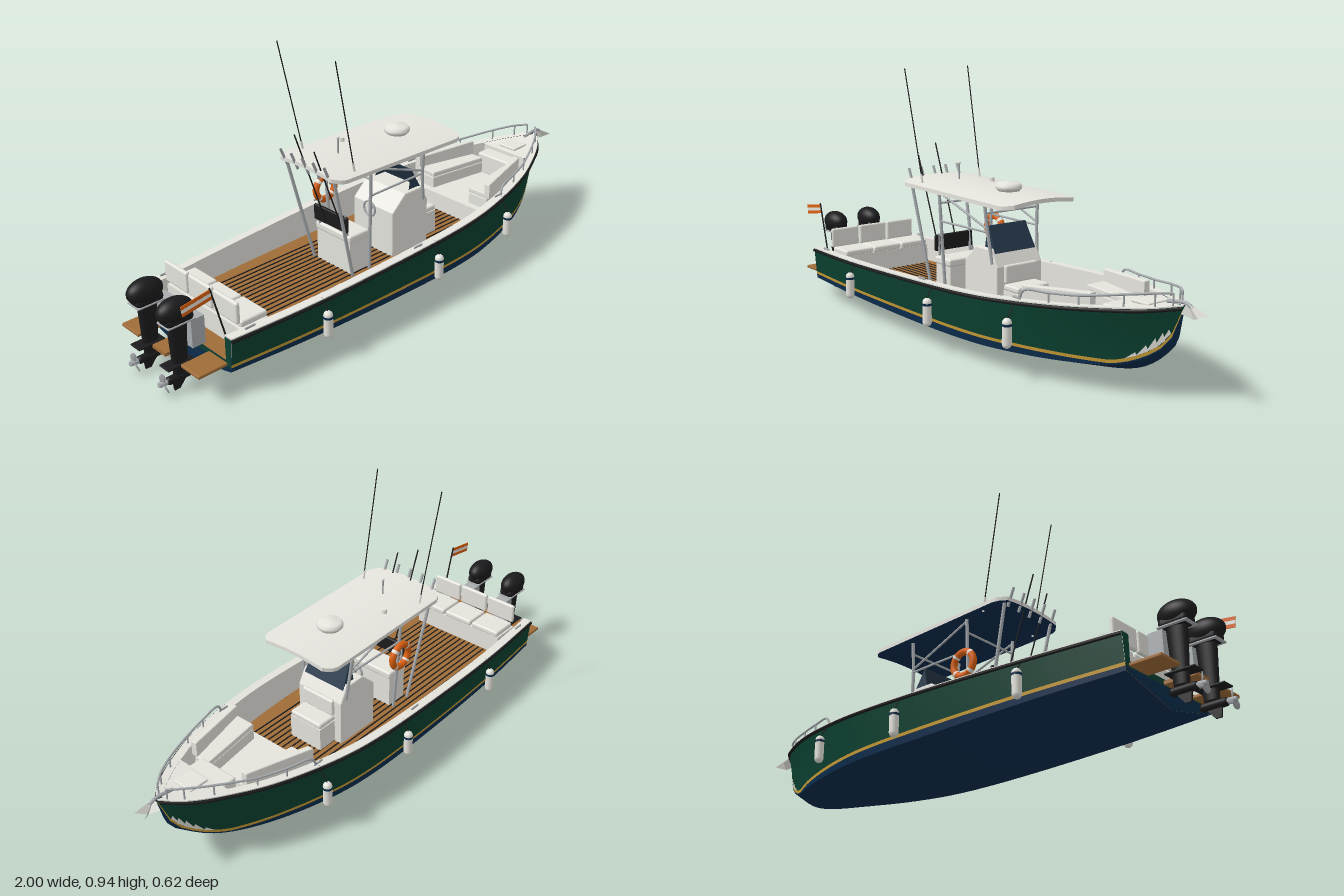
import * as THREE from 'three';
import { toCreasedNormals } from 'three/addons/utils/BufferGeometryUtils.js';
import { RoundedBoxGeometry } from 'three/addons/geometries/RoundedBoxGeometry.js';

const mat = (name, color) => {
  const m = new THREE.MeshStandardMaterial({ color, side: THREE.DoubleSide });
  m.name = name;
  return m;
};

// x, keel y, chine half-beam, chine y, sheer half-beam, sheer y
const ROWS = [
  [-0.83, 0.03, 0.225, 0.085, 0.235, 0.205], [-0.5, 0.013, 0.25, 0.08, 0.262, 0.213],
  [-0.1, 0.003, 0.26, 0.075, 0.275, 0.228], [0.2, 0.003, 0.255, 0.075, 0.271, 0.24],
  [0.4, 0.013, 0.225, 0.078, 0.246, 0.252], [0.6, 0.035, 0.165, 0.085, 0.196, 0.267],
  [0.75, 0.07, 0.095, 0.1, 0.132, 0.28], [0.85, 0.13, 0.04, 0.147, 0.075, 0.29],
  [0.9, 0.195, 0.014, 0.208, 0.033, 0.298], [0.925, 0.288, 0.001, 0.29, 0.003, 0.302],
];
const COLS = [1, 2, 3, 4, 5].map(c => new THREE.SplineCurve(ROWS.map(r => new THREE.Vector2(r[0], r[c]))));

// hull measurements at any x
function station(x) {
  let a = 0, b = 1;
  for (let i = 0; i < 30; i++) {
    const m = (a + b) / 2;
    if (COLS[0].getPoint(m).x < x) a = m; else b = m;
  }
  const [ky, cb, cy, sb, sy] = COLS.map(c => c.getPoint(a).y);
  const low = Math.min(Math.max(0.1, cy + 0.005), sy - 0.008), high = Math.min(low + 0.011, sy - 0.004);
  const power = 1 + 0.5 * THREE.MathUtils.smoothstep(x, 0.2, 0.8);
  const side = y => cb + (sb - cb) * Math.pow(THREE.MathUtils.clamp((y - cy) / (sy - cy), 0, 1), power);
  return { x, ky, cb, cy, sb, sy, low, high, side, inner: Math.max(sb - 0.032, 0) };
}

export function createModel() {
  const boat = new THREE.Group();
  boat.name = 'boat';
  const green = mat('hull green', 0x0b4030), navy = mat('navy', 0x0b2c4c), gold = mat('gold', 0xc79a34),
    white = mat('white', 0xe4e3dc), teak = mat('teak', 0xa06c38), black = mat('black', 0x1b1b1d),
    orange = mat('orange', 0xd9600f), steel = mat('steel', 0xa9adb0), glass = mat('tinted glass', 0x26384a);

  const add = (name, geo, m, p = [0, 0, 0], parent = boat) => {
    const mesh = new THREE.Mesh(geo, m);
    mesh.name = name;
    mesh.position.set(...p);
    parent.add(mesh);
    return mesh;
  };
  const box = (name, m, p, s, parent) => add(name, new THREE.BoxGeometry(...s), m, p, parent);
  const pad = (name, m, p, s, r = 0.008, parent = boat) =>
    add(name, new RoundedBoxGeometry(...s, 3, Math.min(r, Math.min(...s) * 0.45)), m, p, parent);
  const tube = (name, m, pts, r, parent) => add(name, new THREE.TubeGeometry(
    new THREE.CatmullRomCurve3(pts.map(p => new THREE.Vector3(...p))),
    pts.length > 2 ? pts.length * 6 : 1, r, 8), m, [0, 0, 0], parent);
  const both = fn => [1, -1].forEach(fn);

  // surface swept through hull stations; profile gives [y, z] points for one side
  function skin(name, m, x0, x1, n, profile) {
    both(s => {
      const pos = [], idx = [];
      let k = 0;
      for (let i = 0; i <= n; i++) {
        const x = x0 + (x1 - x0) * i / n, pts = profile(station(x));
        k = pts.length;
        pts.forEach(([y, z]) => pos.push(x, y, s * z));
      }
      for (let i = 0; i < n; i++) for (let j = 0; j < k - 1; j++) {
        const a = i * k + j, b = a + 1, c = a + k, d = c + 1;
        if (s > 0) idx.push(a, c, b, b, c, d); else idx.push(a, b, c, b, d, c);
      }
      const g = new THREE.BufferGeometry();
      g.setAttribute('position', new THREE.Float32BufferAttribute(pos, 3));
      g.setIndex(idx);
      add(name, toCreasedNormals(g, 0.5), m);
    });
  }

  // hull skins
  const FLOOR = 0.12, SOLE = 0.19;
  skin('bottom', navy, -0.83, 0.925, 60, s => [[s.ky, 0], [s.cy, s.cb], [s.low, s.side(s.low)]]);
  skin('bootStripe', gold, -0.83, 0.925, 60, s => [[s.low, s.side(s.low)], [s.high, s.side(s.high)]]);
  skin('topsides', green, -0.83, 0.925, 60, s => [0, 0.2, 0.4, 0.6, 0.8, 1].map(f => {
    const y = s.high + (s.sy - s.high) * f;
    return [y, s.side(y)];
  }));
  skin('gunwale', white, -0.83, 0.925, 60, s => [[s.sy, s.sb], [s.sy + 0.004, s.sb], [s.sy + 0.004, s.inner]]);
  skin('innerLiner', white, -0.83, 0.74, 40, s => [[s.sy + 0.004, s.inner], [FLOOR, Math.min(s.inner, s.side(FLOOR) - 0.008)]]);
  skin('cockpitFloor', teak, -0.83, 0.39, 24, s => [[FLOOR, s.inner], [FLOOR, 0]]);
  skin('bowSole', white, 0.39, 0.74, 12, s => [[SOLE, s.inner], [SOLE, 0]]);
  skin('foredeck', white, 0.73, 0.92, 12, s => [[s.sy + 0.003, s.inner], [s.sy + 0.003, 0]]);
  box('bowStep', white, [0.392, 0.155, 0], [0.006, 0.07, 0.42]);
  box('foredeckBulkhead', white, [0.732, 0.235, 0], [0.005, 0.09, 0.2]);
  for (let i = -8; i <= 8; i++) box('deckSeam', black, [-0.13, FLOOR + 0.001, i * 0.0225], [1.04, 0.002, 0.005]);

  // transom
  const st = station(-0.83);
  const plate = (name, m, pts) => add(name, new THREE.ShapeGeometry(
    new THREE.Shape(pts.map(p => new THREE.Vector2(...p)))).rotateY(-Math.PI / 2), m, [-0.831, 0, 0]);
  const w = st.side(0.1);
  plate('transomBottom', navy, [[0, st.ky], [st.cb, st.cy], [w, 0.1], [-w, 0.1], [-st.cb, st.cy]]);
  plate('transom', green, [[w, 0.1], [st.sb, st.sy], [st.inner, st.sy], [st.inner, FLOOR],
    [-st.inner, FLOOR], [-st.inner, st.sy], [-st.sb, st.sy], [-w, 0.1]]);

  both(s => {
    // rub rail
    const rail = [];
    for (let i = 0; i <= 20; i++) {
      const q = station(-0.83 + 1.752 * i / 20);
      rail.push([q.x, q.sy - 0.006, s * (q.sb + 0.001)]);
    }
    tube('rubRail', black, rail, 0.006);
    // jagged pale bow flashes
    const pos = [];
    const on = (x, up) => { const q = station(x), y = q.high + up; pos.push(x, y, s * (q.side(y) + 0.003)); };
    [[0.79, 0.012], [0.82, 0.022], [0.845, 0.03], [0.865, 0.03], [0.88, 0.02]].forEach(([x, h]) => {
      on(x - 0.018, 0); on(x + 0.016, 0); on(x + 0.012, h);
    });
    const g = new THREE.BufferGeometry();
    g.setAttribute('position', new THREE.Float32BufferAttribute(pos, 3));
    g.computeVertexNormals();
    add('bowFlash', g, white);
    // bow rail and its posts
    const top = [[0.44, 0.262], [0.46, 0.292], [0.55, 0.298], [0.65, 0.305], [0.78, 0.325], [0.86, 0.337], [0.9, 0.34]]
      .map(([x, y]) => [x, y, s * Math.max(station(x).sb - 0.014, 0.02)]);
    tube('bowRail', steel, top, 0.004);
    top.slice(2).forEach(p => tube('bowRailPost', steel, [p, [p[0], station(p[0]).sy, p[2]]], 0.003));
    // fenders
    [[-0.48, 0.13, 0.283], [0.035, 0.14, 0.292], [0.435, 0.155, 0.268]].forEach(([x, y, z]) => {
      const f = new THREE.Group();
      f.name = 'fender';
      f.position.set(x, y, s * z);
      boat.add(f);
      add('fenderBody', new THREE.CapsuleGeometry(0.016, 0.068, 6, 16), white, [0, 0, 0], f);
      add('fenderBand', new THREE.CylinderGeometry(0.0167, 0.0167, 0.008, 16), navy, [0, 0.028, 0], f);
      tube('fenderRope', black, [[0, 0.045, 0], [0, station(x).sy - y + 0.004, s * (station(x).sb - z - 0.008)]], 0.002, f);
    });
    // cleats
    [-0.75, -0.04, 0.43].forEach(x => pad('cleat', steel, [x, station(x).sy + 0.009, s * (station(x).sb - 0.016)], [0.04, 0.008, 0.006]));
    // bow benches with backrests
    const bench = (name, y, h, o0, o1, i0, i1, rise) => {
      const shape = new THREE.Shape([[0.42, o0], [0.66, o1], [0.66, i1], [0.42, i0]].map(([x, z]) => new THREE.Vector2(x, -s * z)));
      const geo = new THREE.ExtrudeGeometry(shape, { depth: h, bevelSize: 0.004, bevelThickness: 0.004, bevelSegments: 2 });
      geo.rotateX(-Math.PI / 2).translate(0, y, 0);
      const p = geo.attributes.position;
      for (let i = 0; i < p.count; i++) p.setY(i, p.getY(i) + rise * (p.getX(i) - 0.42));
      add(name, geo, white);
    };
    bench('bowBench', SOLE, 0.04, 0.175, 0.115, 0.095, 0.06, 0);
    bench('bowCushion', 0.238, 0.012, 0.172, 0.112, 0.095, 0.06, 0);
    bench('bowBackrest', 0.24, 0.052, 0.186, 0.126, 0.17, 0.11, 0.06);
    // swim platform and stern bracket
    pad('swimPlatform', teak, [-0.885, 0.108, s * 0.163], [0.11, 0.012, 0.095], 0.004);
  });
  box('swimPlatformCentre', teak, [-0.885, 0.108, 0], [0.11, 0.012, 0.07]);
  pad('bowLocker', white, [0.697, 0.228, 0], [0.066, 0.085, 0.16]);
  pad('anchorHatch', white, [0.785, 0.29, 0], [0.075, 0.01, 0.08], 0.004);

  // anchor on the stem
  tube('anchorShank', steel, [[0.86, 0.305, 0], [0.93, 0.314, 0], [0.955, 0.305, 0]], 0.006);
  both(s => {
    const g = new THREE.BufferGeometry();
    g.setAttribute('position', new THREE.Float32BufferAttribute(
      [0.935, 0.318, 0, 0.998, 0.284, s * 0.024, 0.962, 0.27, 0, 0.935, 0.318, 0, 0.94, 0.288, s * 0.03, 0.962, 0.27, 0], 3));
    g.computeVertexNormals();
    add('anchorFluke', g, white);
  });

  // stern bench
  box('sternBench', white, [-0.71, 0.158, 0], [0.11, 0.076, 0.39]);
  [-0.13, 0, 0.13].forEach(z => {
    pad('sternCushion', white, [-0.705, 0.207, z], [0.105, 0.024, 0.124]);
    pad('sternBackrest', white, [-0.766, 0.252, z], [0.016, 0.076, 0.124]);
  });

  // helm console, windshield, wheel and forward seat
  const side = new THREE.Shape([[0, 0.12], [0.17, 0.12], [0.17, 0.29], [0.14, 0.345], [0.06, 0.345], [0, 0.29]].map(p => new THREE.Vector2(...p)));
  add('console', new THREE.ExtrudeGeometry(side, { depth: 0.19, bevelSize: 0.005, bevelThickness: 0.005, bevelSegments: 2 }), white, [0, 0, -0.095]);
  const shield = new THREE.BoxGeometry(0.005, 0.09, 0.18, 1, 4, 1), sp = shield.attributes.position;
  for (let i = 0; i < sp.count; i++) {
    const v = sp.getY(i) / 0.09 + 0.5;
    sp.setX(i, sp.getX(i) + 0.15 - 0.045 * v);
    sp.setZ(i, sp.getZ(i) * (1 - 0.1 * v));
  }
  shield.computeVertexNormals();
  add('windshield', shield, glass, [0, 0.38, 0]);
  both(s => add('windshieldSide', new THREE.ShapeGeometry(new THREE.Shape(
    [[0.15, 0.335], [0.105, 0.425], [0.09, 0.345]].map(p => new THREE.Vector2(...p)))), glass, [0, 0, s * 0.085]));
  box('dashboard', black, [0.028, 0.319, 0], [0.05, 0.004, 0.14]).rotation.z = 0.74;
  add('steeringWheel', new THREE.TorusGeometry(0.028, 0.004, 8, 24), steel, [-0.022, 0.285, 0]).rotation.y = Math.PI / 2;
  tube('steeringColumn', steel, [[-0.022, 0.285, 0], [0.005, 0.285, 0]], 0.005);
  box('forwardSeat', white, [0.212, 0.165, 0], [0.08, 0.09, 0.14]);
  pad('forwardCushion', white, [0.212, 0.22, 0], [0.08, 0.022, 0.14]);
  pad('forwardBackrest', white, [0.18, 0.265, 0], [0.016, 0.065, 0.14]);

  // leaning seat behind the helm
  box('helmSeatBase', white, [-0.155, 0.18, 0], [0.085, 0.12, 0.17]);
  pad('helmCushion', white, [-0.155, 0.253, 0], [0.095, 0.028, 0.18]);
  pad('helmBackrest', black, [-0.207, 0.312, 0], [0.014, 0.06, 0.17]);
  both(s => tube('helmBackPost', steel, [[-0.195, 0.24, s * 0.07], [-0.205, 0.345, s * 0.07]], 0.005));

  // hardtop: arched, cut corners, navy lining
  const roof = new THREE.BoxGeometry(0.62, 0.014, 0.32, 30, 1, 14), rp = roof.attributes.position;
  for (let i = 0; i < rp.count; i++) {
    const x = rp.getX(i), u = Math.max(0, (Math.abs(x) / 0.31 - 0.86) / 0.14), z = rp.getZ(i) * (1 - 0.2 * u * u);
    rp.setZ(i, z);
    rp.setY(i, rp.getY(i) - 0.55 * z * z - 0.022 * x);
  }
  roof.computeVertexNormals();
  add('hardtop', roof, [white, white, white, navy, white, white], [-0.01, 0.536, 0]);
  both(s => {
    const a = s * 0.1, b = s * 0.12;
    tube('hardtopAftLeg', steel, [[-0.2, FLOOR, a], [-0.3, 0.527, b]], 0.006);
    tube('hardtopMidLeg', steel, [[-0.12, FLOOR, a], [-0.13, 0.527, b]], 0.006);
    tube('hardtopFrontLeg', steel, [[0.15, 0.3, a], [0.135, 0.42, s * 0.11], [0.13, 0.525, b]], 0.006);
    tube('hardtopBrace', steel, [[-0.125, 0.515, b], [0.137, 0.42, s * 0.11]], 0.004);
    tube('hardtopRail', steel, [[-0.125, 0.41, s * 0.114], [0.137, 0.41, s * 0.11]], 0.004);
    tube('whipAntenna', black, [[-0.215, 0.53, s * 0.13], [-0.305, 0.945, s * 0.142]], 0.002);
    tube('antennaBase', white, [[-0.213, 0.52, s * 0.13], [-0.224, 0.57, s * 0.131]], 0.004);
  });
  [-0.13, 0.13].forEach(x => tube('hardtopCrossbar', steel, [[x, 0.475, -0.116], [x, 0.475, 0.116]], 0.004));
  [-0.11, -0.055, 0, 0.055, 0.11].forEach(z => tube('rodHolder', steel, [[-0.305, 0.515, z], [-0.332, 0.577, z]], 0.005));
  tube('fishingRod', black, [[-0.215, 0.3, 0.065], [-0.335, 0.622, 0.065]], 0.0025);
  tube('fishingRod', black, [[-0.215, 0.3, -0.02], [-0.345, 0.66, -0.02]], 0.0025);

  // radar dome, mast light and satellite puck
  add('radarDome', new THREE.LatheGeometry([[0, 0], [0.038, 0], [0.046, 0.009], [0.046, 0.018], [0.038, 0.028], [0, 0.032]]
    .map(p => new THREE.Vector2(...p)), 32), white, [0.115, 0.54, 0]);
  tube('mastLightPole', steel, [[-0.17, 0.54, 0], [-0.17, 0.6, 0]], 0.003);
  add('mastLight', new THREE.SphereGeometry(0.006, 12, 8), white, [-0.17, 0.605, 0]);
  add('satellitePuck', new THREE.CylinderGeometry(0.009, 0.011, 0.014, 16), white, [-0.08, 0.548, -0.08]);

  // life ring with pale bands
  add('lifeRing', new THREE.TorusGeometry(0.044, 0.0125, 12, 40), orange, [-0.12, 0.358, -0.126]);
  for (let i = 0; i < 4; i++)
    add('lifeRingBand', new THREE.TorusGeometry(0.044, 0.0131, 12, 5, 0.22), white, [-0.12, 0.358, -0.126]).rotation.z = 0.68 + i * Math.PI / 2;

  // twin outboards
  both(s => {
    const e = new THREE.Group();
    e.name = 'outboard';
    e.position.z = s * 0.08;
    boat.add(e);
    const cowl = add('cowl', new THREE.SphereGeometry(1, 28, 18), black, [-0.922, 0.285, 0], e);
    cowl.scale.set(0.064, 0.042, 0.04);
    pad('cowlBase', black, [-0.918, 0.258, 0], [0.1, 0.035, 0.06], 0.015, e);
    pad('cowlTrim', steel, [-0.918, 0.245, 0], [0.102, 0.006, 0.062], 0.002, e);
    const leg = new THREE.CylinderGeometry(0.036, 0.026, 0.19, 20);
    leg.scale(1, 1, 0.55);
    add('leg', leg, black, [-0.918, 0.155, 0], e);
    pad('ventPlate', black, [-0.927, 0.098, 0], [0.1, 0.006, 0.05], 0.002, e);
    add('gearcase', new THREE.CapsuleGeometry(0.014, 0.07, 6, 14).rotateZ(Math.PI / 2), black, [-0.925, 0.046, 0], e);
    add('skeg', new THREE.ExtrudeGeometry(new THREE.Shape([[-0.95, 0.045], [-0.945, 0.003], [-0.925, 0.003], [-0.89, 0.045]]
      .map(p => new THREE.Vector2(...p))), { depth: 0.006, bevelEnabled: false }), black, [0, 0, -0.003], e);
    box('bracket', steel, [-0.858, 0.19, 0], [0.05, 0.1, 0.05], e);
    add('propellerHub', new THREE.CylinderGeometry(0.008, 0.01, 0.028, 12).rotateZ(Math.PI / 2), steel, [-0.985, 0.046, 0], e);
    for (let i = 0; i < 3; i++) {
      const blade = new THREE.SphereGeometry(1, 12, 8).scale(0.003, 0.017, 0.011).rotateY(0.6).translate(0, 0.02, 0);
      add('propellerBlade', blade, steel, [-0.985, 0.046, 0], e).rotation.x = i * Math.PI * 2 / 3;
    }
  });

  // stern flag
  tube('flagStaff', black, [[-0.815, 0.2, 0.185], [-0.862, 0.38, 0.185]], 0.003);
  [orange, white, orange].forEach((m, i) => {
    box('flagStripe', m, [-0.914 + i * 0.002, 0.362 - i * 0.012, 0.185], [0.108, 0.012, 0.003]).rotation.z = 0.15;
  });
  return boat;
}
